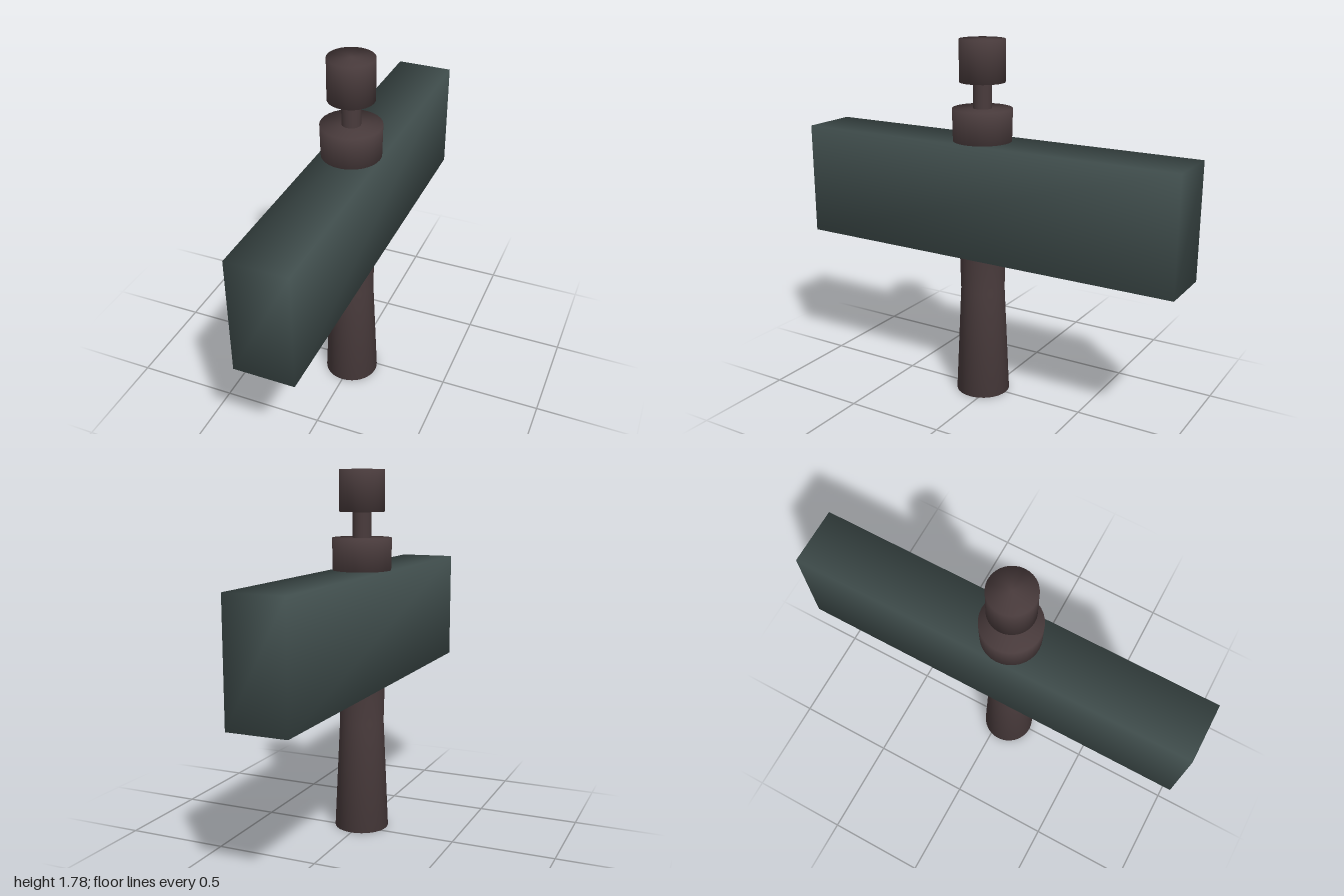
import * as THREE from 'three';
import { mergeVertices } from 'three/addons/utils/BufferGeometryUtils.js';

const SHAFT_Z = 0.047;

// Box whose corners share averaged normals, for soft shading across the edges
function softBox(w, h, d) {
  const box = new THREE.BoxGeometry(w, h, d);
  box.deleteAttribute('normal');
  box.deleteAttribute('uv');
  const soft = mergeVertices(box);
  soft.computeVertexNormals();
  return soft;
}

// Turned part from [radius, height] pairs, bottom to top
function turned(name, profile, material) {
  const points = profile.map(([r, y]) => new THREE.Vector2(r, y));
  const mesh = new THREE.Mesh(new THREE.LatheGeometry(points, 32), material);
  mesh.name = name;
  mesh.position.z = SHAFT_Z;
  return mesh;
}

export function createModel() {
  const model = new THREE.Group();
  model.name = 'hammer';

  const steel = new THREE.MeshStandardMaterial({ color: 0x435150 });
  steel.name = 'dark steel';
  const wood = new THREE.MeshStandardMaterial({ color: 0x493b3c });
  wood.name = 'dark wood';

  // Long block head
  const head = new THREE.Mesh(softBox(0.286, 0.563, 2), steel);
  head.name = 'head';
  head.position.y = 1.0185;
  model.add(head);

  // Waisted grip, running through the head
  model.add(turned('handle', [
    [0, 0], [0.134, 0], [0.109, 0.55], [0.114, 0.75], [0.141, 1.25], [0, 1.25],
  ], wood));

  // Collar above the head
  model.add(turned('collar', [
    [0, 1.25], [0.141, 1.25], [0.145, 1.456], [0, 1.456],
  ], wood));

  // Thin neck and the knob on top
  model.add(turned('neck', [[0.045, 1.44], [0.045, 1.6]], wood));
  model.add(turned('knob', [
    [0, 1.58], [0.11, 1.58], [0.11, 1.78], [0, 1.78],
  ], wood));

  return model;
}
